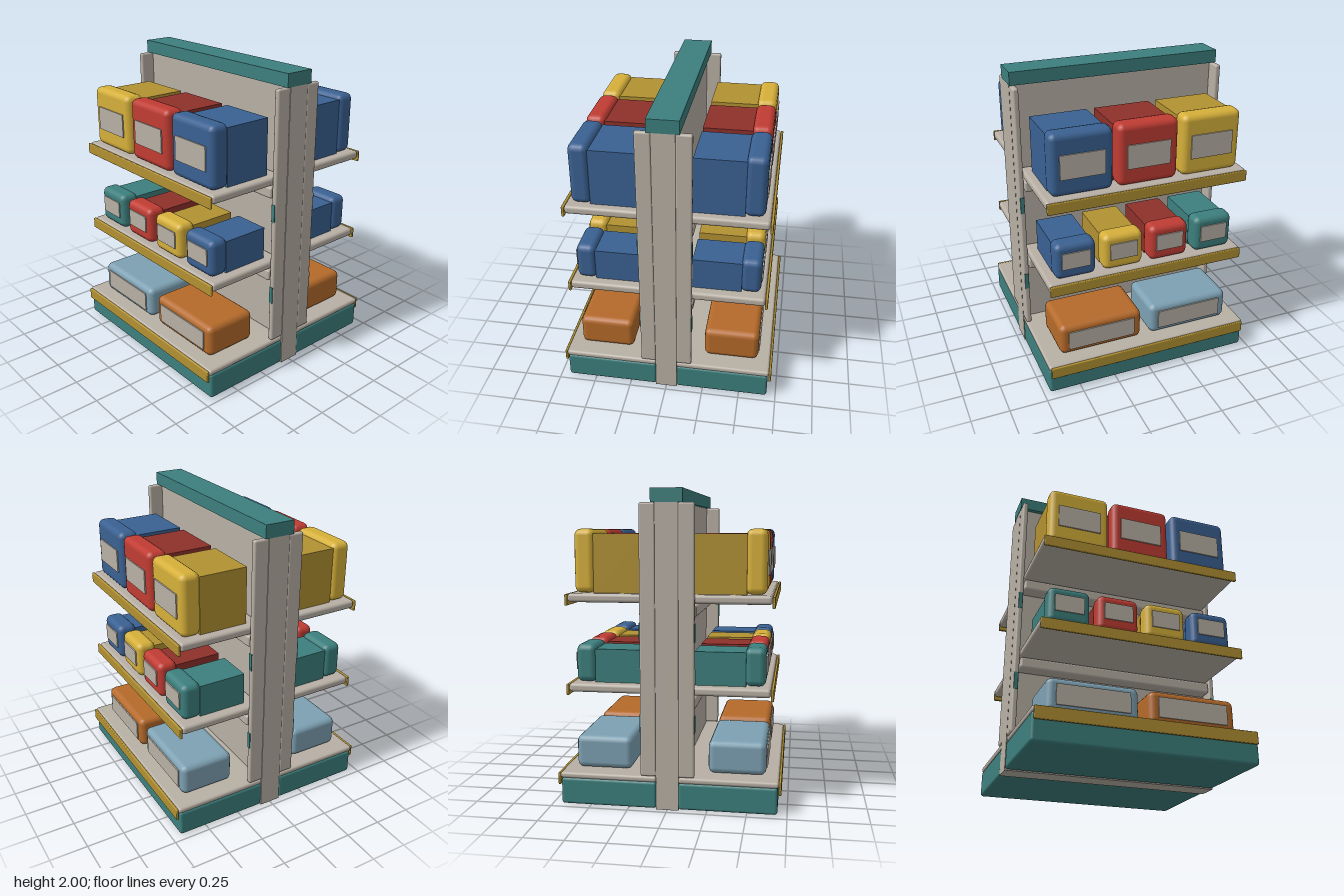
import * as THREE from 'three';
import { RoundedBoxGeometry } from 'three/addons/geometries/RoundedBoxGeometry.js';

const mat = (name, color) => new THREE.MeshStandardMaterial({ name, color });

const M = {
  grey: mat('warmGrey', 0xb8b0a5),
  teal: mat('teal', 0x3c7f7d),
  yellow: mat('yellow', 0xd6b03a),
  ochre: mat('ochre', 0xb29132),
  red: mat('red', 0xc03c33),
  darkRed: mat('darkRed', 0x8e302a),
  blue: mat('blue', 0x3a6192),
  paleBlue: mat('paleBlue', 0x7da1b3),
  orange: mat('orange', 0xb56a2a),
};

// Box given by its [min, max] extents; a radius rounds the edges
function block(name, material, [x0, x1], [y0, y1], [z0, z1], radius = 0) {
  const w = x1 - x0, h = y1 - y0, d = z1 - z0;
  const geometry = radius
    ? new RoundedBoxGeometry(w, h, d, 2, radius)
    : new THREE.BoxGeometry(w, h, d);
  const mesh = new THREE.Mesh(geometry, material);
  mesh.name = name;
  mesh.position.set((x0 + x1) / 2, (y0 + y1) / 2, (z0 + z1) / 2);
  return mesh;
}

const span = (centre, size) => [centre - size / 2, centre + size / 2];

// Carton with a rounded front cap, a plain body behind and a label
function carton(x, y, w, h, cap, body, label) {
  const g = new THREE.Group();
  g.name = 'carton';
  g.add(
    block('cartonBody', body, span(x, w - 0.025), [y, y + h - 0.03], [0.16, 0.48]),
    block('cartonCap', cap, span(x, w), [y, y + h], [0.473, 0.604], 0.04),
    block('cartonLabel', M.grey, span(x, label.w), span(y + label.y, label.h), [0.604, 0.612]),
  );
  return g;
}

// Hanging shelf with its price strip and the support rail below
function shelf(top) {
  const g = new THREE.Group();
  g.name = 'shelf';
  g.add(
    block('shelfBoard', M.grey, [-0.672, 0.672], [top - 0.056, top], [0.07, 0.638], 0.02),
    block('priceStrip', M.ochre, [-0.67, 0.67], [top - 0.078, top - 0.006], [0.638, 0.656], 0.006),
    block('supportRail', M.grey, [-0.67, 0.67], [top - 0.14, top - 0.065], [0.07, 0.176], 0.015),
  );
  return g;
}

// One stocked side, mirrored by reflecting positions of symmetric blocks
function stockedSide(sign) {
  const g = new THREE.Group();
  g.name = sign > 0 ? 'frontSide' : 'backSide';

  // Plinth and bottom deck
  g.add(
    block('plinth', M.teal, [-0.71, 0.71], [0.004, 0.178], [0.07, 0.69], 0.018),
    block('deck', M.grey, [-0.71, 0.71], [0.174, 0.213], [0.07, 0.697], 0.016),
    block('deckPriceStrip', M.ochre, [-0.7, 0.7], [0.128, 0.207], [0.696, 0.713], 0.006),
  );

  // Uprights with coloured slots
  for (const s of [-1, 1]) {
    g.add(block('upright', M.grey, span(s * 0.693, 0.036), [0.215, 1.915], [0.07, 0.171], 0.012));
    for (const y of [0.555, 1.13]) {
      g.add(block('uprightSlot', M.teal, span(s * 0.693, 0.026), span(y, 0.115), [0.167, 0.174]));
    }
  }

  g.add(shelf(0.788), shelf(1.36));

  // Large cartons on the top shelf
  [[M.yellow, M.ochre], [M.red, M.darkRed], [M.blue, M.blue]].forEach(([cap, body], i) => {
    g.add(carton((i - 1) * 0.428, 1.36, 0.4, 0.398, cap, body, { w: 0.285, h: 0.155, y: 0.192 }));
  });

  // Small cartons on the middle shelf
  [[M.teal, M.teal], [M.red, M.darkRed], [M.yellow, M.ochre], [M.blue, M.blue]].forEach(([cap, body], i) => {
    g.add(carton((i - 1.5) * 0.321, 0.788, 0.272, 0.244, cap, body, { w: 0.188, h: 0.112, y: 0.131 }));
  });

  // Wide bundles on the deck
  [[-0.322, M.paleBlue], [0.318, M.orange]].forEach(([x, m]) => {
    g.add(
      block('bundle', m, span(x, 0.574), [0.216, 0.43], [0.246, 0.614], 0.04),
      block('bundleLabel', M.grey, span(x, 0.46), [0.258, 0.387], [0.614, 0.622]),
    );
  });

  g.traverse((o) => { o.position.z *= sign; });
  return g;
}

export function createModel() {
  const model = new THREE.Group();
  model.name = 'shelvingUnit';
  // Central spine and header
  model.add(
    block('spine', M.grey, [-0.71, 0.71], [0, 1.92], [-0.072, 0.072]),
    block('header', M.teal, [-0.712, 0.712], [1.915, 2], [-0.098, 0.098]),
    stockedSide(1),
    stockedSide(-1),
  );
  return model;
}
